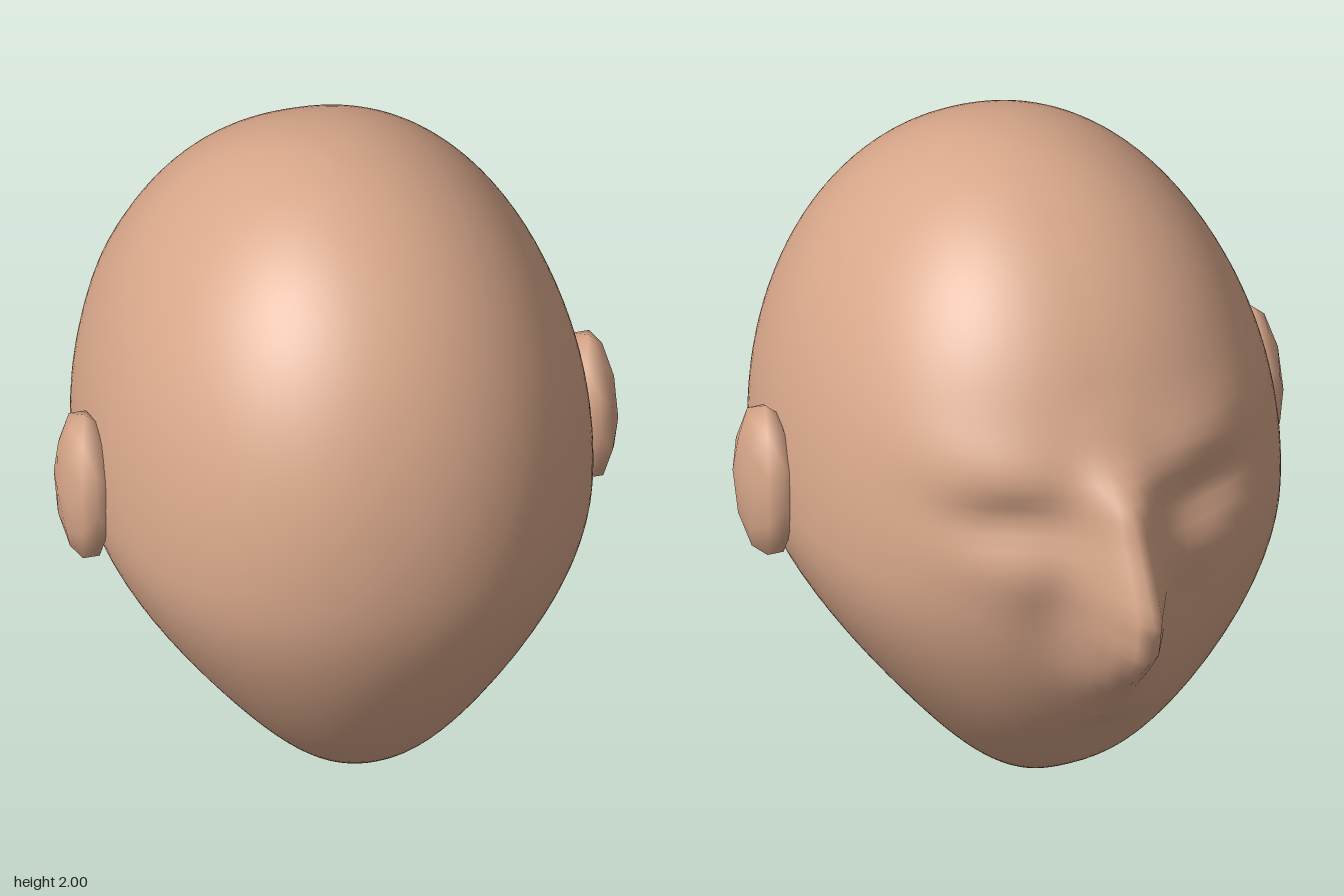
import * as THREE from 'three';
import { mergeVertices } from 'three/addons/utils/BufferGeometryUtils.js';

const { smoothstep } = THREE.MathUtils;
const CENTER_Z = 0.13, RX = 0.73, RZ = 0.86;

// Midline relief of the face: [height, how far it stands out], top to bottom
const PROFILE = [
  [1.55, 0], [1.4, 0.025], [1.3, 0.115], [1.25, 0.142], [1.2, 0.157], [1.1, 0.21], [1.0, 0.262], [0.87, 0.24],
  [0.8, 0.187], [0.7, 0.11], [0.6, 0.042], [0.5, 0.015], [0.4, -0.04], [0.3, -0.045], [0.2, -0.025], [0.05, 0],
];

// Soft mounds and hollows, mirrored in x: [x, y, width, height, depth]
const RELIEF = [
  [0.30, 1.37, 0.24, 0.10, 0.025],  // brows
  [0.30, 1.21, 0.17, 0.08, -0.045], // eye sockets
  [0.32, 1.06, 0.15, 0.09, 0.012],  // closed eyes
  [0.20, 0.88, 0.09, 0.14, -0.018], // hollows beside the nose
];

function midline(y) {
  for (let i = 1; i < PROFILE.length; i++) {
    const [y0, d0] = PROFILE[i - 1], [y1, d1] = PROFILE[i];
    if (y <= y0 && y >= y1) return d0 + (d1 - d0) * (y0 - y) / (y0 - y1);
  }
  return 0;
}

// How far a squared-off ring reaches beyond a round one (1 at the poles)
function squaring(sx, sz) {
  const ring = Math.hypot(sx, sz);
  if (ring < 1e-6) return 1;
  const n = sz < 0 ? 2.25 : 2.12;
  return (Math.abs(sx / ring) ** n + Math.abs(sz / ring) ** n) ** (-1 / n);
}

// Slightly squared ellipsoid narrowed toward the chin, with the face pushed out toward -z
function headGeometry() {
  const geo = new THREE.SphereGeometry(1, 128, 72);
  const p = geo.attributes.position;
  for (let i = 0; i < p.count; i++) {
    const sx = p.getX(i), sy = p.getY(i), sz = p.getZ(i);
    const y = sy + 1;
    const square = squaring(sx, sz);
    const wide = sx * square * RX;
    const x = wide * (1 - 0.36 * smoothstep(-sy, 0.05, 1.05));
    let z = sz * square * RZ;
    if (sz < 0) {
      let out = midline(y) * (0.88 * Math.exp(-((x / 0.095) ** 2)) + 0.12 * Math.exp(-((x / 0.2) ** 2)));
      for (const [cx, cy, w, h, d] of RELIEF) {
        out += d * Math.exp(-(((Math.abs(wide) - cx) / w) ** 2) - ((y - cy) / h) ** 2);
      }
      z -= out * smoothstep(-sz, 0, 0.45);
    } else {
      z *= 1 - 0.04 * smoothstep(-sy, 0, 0.6);
    }
    p.setXYZ(i, x, y, CENTER_Z + z);
  }
  geo.deleteAttribute('uv');
  geo.deleteAttribute('normal');
  const welded = mergeVertices(geo, 1e-5);
  welded.computeVertexNormals();
  return welded;
}

export function createModel() {
  const model = new THREE.Group();
  model.name = 'head';
  const skin = new THREE.MeshStandardMaterial({ color: 0xd8a78a });
  skin.name = 'skin';

  const skull = new THREE.Mesh(headGeometry(), skin);
  skull.name = 'skullAndFace';
  model.add(skull);

  // Flat oval ears
  const earGeo = new THREE.IcosahedronGeometry(1, 1);
  for (const side of [-1, 1]) {
    const ear = new THREE.Mesh(earGeo, skin);
    ear.name = side > 0 ? 'leftEar' : 'rightEar';
    ear.scale.set(0.08, 0.25, 0.16);
    ear.position.set(side * 0.745, 1, 0.165);
    model.add(ear);
  }
  return model;
}
